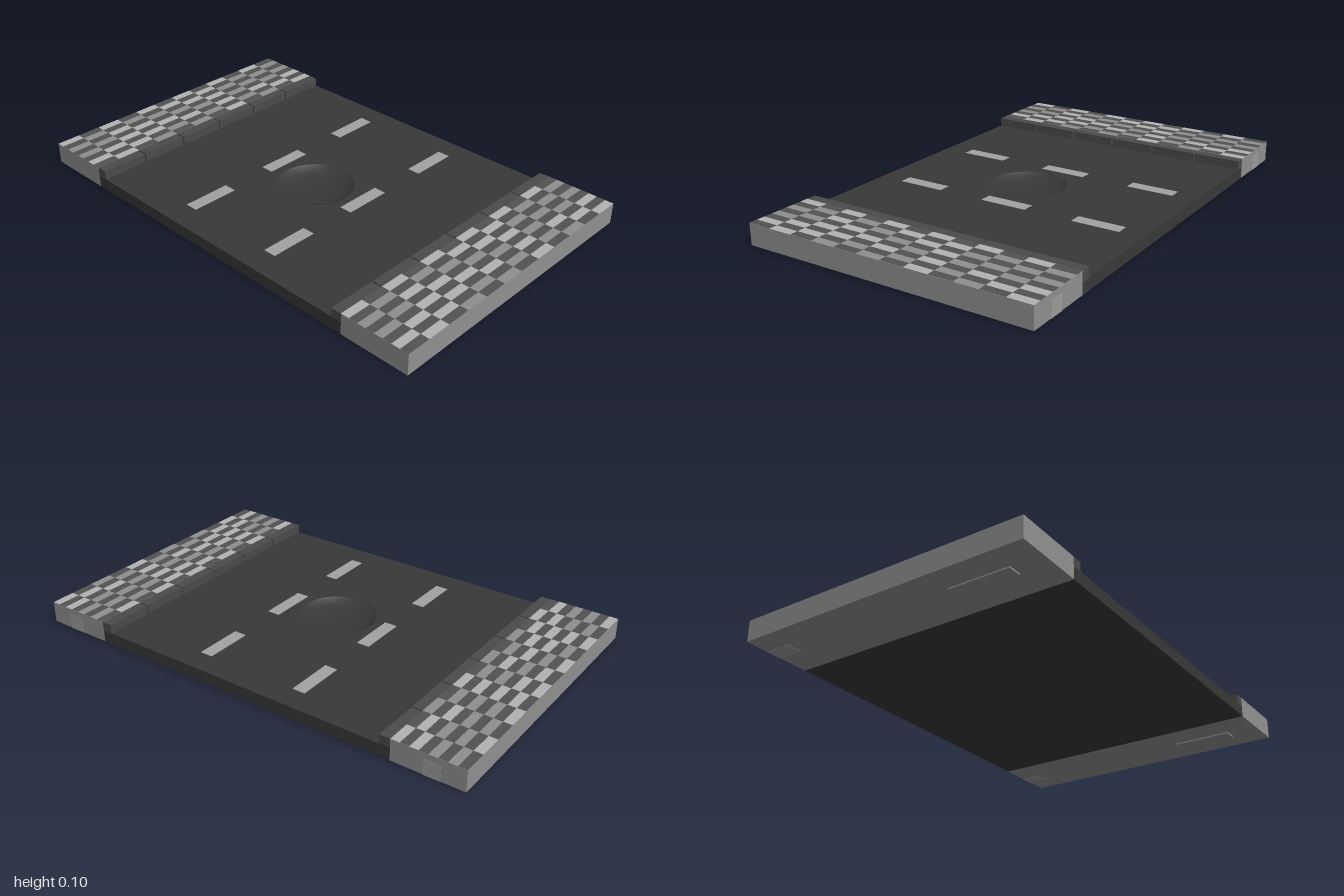
import * as THREE from 'three';
import { mergeGeometries } from 'three/addons/utils/BufferGeometryUtils.js';

const BASE = 0.006, ROAD = 0.058, TOP = 0.096, HALF = 0.63;

function grey(color, extra = {}) {
  return new THREE.MeshStandardMaterial({ color, ...extra });
}

// Box given by its lower and upper corners
function box(x0, x1, y0, y1, z0, z1) {
  const g = new THREE.BoxGeometry(x1 - x0, y1 - y0, z1 - z0);
  return g.translate((x0 + x1) / 2, (y0 + y1) / 2, (z0 + z1) / 2);
}

function add(parent, name, geometry, material) {
  const mesh = new THREE.Mesh(geometry, material);
  mesh.name = name;
  parent.add(mesh);
  return mesh;
}

export function createModel() {
  const model = new THREE.Group();
  model.name = 'roadSection';

  const asphalt = grey(0x383838);
  const asphaltHole = grey(0x383838, { side: THREE.DoubleSide });
  const curbStone = grey(0x4a4a4a);
  const concrete = grey(0x909090);
  const paint = grey(0xa2a2a2);
  const patch = grey(0x9c9c9c);
  const tints = [grey(0x525252), grey(0x8e8e8e), grey(0xb2b2b2)];

  // Road slab with a round hole for the pothole
  const holeR = 0.165, holeZ = 0.045, floor = 0.016;
  const outline = new THREE.Shape();
  outline.moveTo(-0.7, -HALF).lineTo(0.7, -HALF).lineTo(0.7, HALF).lineTo(-0.7, HALF).closePath();
  const hole = new THREE.Path();
  hole.absarc(0, -holeZ, holeR, 0, Math.PI * 2, true);
  outline.holes.push(hole);
  const slab = new THREE.ExtrudeGeometry(outline, { depth: ROAD - floor, bevelEnabled: false, curveSegments: 16 });
  slab.rotateX(-Math.PI / 2).translate(0, floor, 0);
  add(model, 'roadSurface', slab, asphalt);
  add(model, 'roadBed', box(-0.7, 0.7, BASE, floor, -HALF, HALF), asphalt);

  // Shallow bowl of the pothole, from rim to middle
  const bowl = [[holeR, ROAD], [0.155, 0.05], [0.13, 0.036], [0.09, 0.028], [0.04, 0.025], [0, 0.024]];
  const bowlGeo = new THREE.LatheGeometry(bowl.map(p => new THREE.Vector2(...p)), 32);
  add(model, 'pothole', bowlGeo.translate(0, 0, holeZ), asphaltHole);

  // Painted lane dashes
  for (const x of [-0.23, 0.228]) {
    for (const z of [-0.425, -0.002, 0.415]) {
      add(model, 'laneDash', box(x - 0.028, x + 0.028, ROAD - 0.002, ROAD + 0.001, z - 0.104, z + 0.104), paint);
    }
  }

  for (const side of [1, -1]) {
    const walk = new THREE.Group();
    walk.name = side > 0 ? 'leftSidewalk' : 'rightSidewalk';
    model.add(walk);
    const span = (a, b) => side > 0 ? [a, b] : [-b, -a];

    add(walk, 'sidewalkSlab', box(...span(0.7, 1), BASE, TOP, -HALF, HALF), concrete);

    // Curb stones with narrow joints
    const step = HALF / 3;
    for (let i = 0; i < 6; i++) {
      const z = -HALF + i * step;
      const gap0 = i > 0 ? 0.003 : 0, gap1 = i < 5 ? 0.003 : 0;
      add(walk, 'curbStone', box(...span(0.655, 0.7), ROAD - 0.005, TOP, z + gap0, z + step - gap1), curbStone);
    }

    // Checkered paving, 8 by 12 tiles in three tints
    const tiles = [[], [], []];
    const w = 0.3 / 8, d = (2 * HALF) / 12;
    for (let i = 0; i < 8; i++) {
      for (let j = 0; j < 12; j++) {
        const tint = (i + j) % 2 === 0 ? 0 : 1 + ((i * 3 + j * 5 + (i * j >> 1)) % 5 < 2 ? 1 : 0);
        const tile = new THREE.PlaneGeometry(w, d).rotateX(-Math.PI / 2);
        const x0 = side > 0 ? 0.7 : -1;
        tile.translate(x0 + (i + 0.5) * w, TOP + 0.0008, -HALF + (j + 0.5) * d);
        tiles[tint].push(tile);
      }
    }
    tiles.forEach((list, k) => add(walk, ['darkTiles', 'midTiles', 'lightTiles'][k], mergeGeometries(list), tints[k]));

    // Small pads on the underside and back end
    add(walk, 'undersidePad', box(...span(0.83, 0.89), 0, BASE + 0.002, 0.24, 0.5), concrete);
    add(walk, 'backPad', box(...span(0.83, 0.9), BASE - 0.001, 0.07, -HALF - 0.001, -0.52), patch);
  }

  return model;
}
